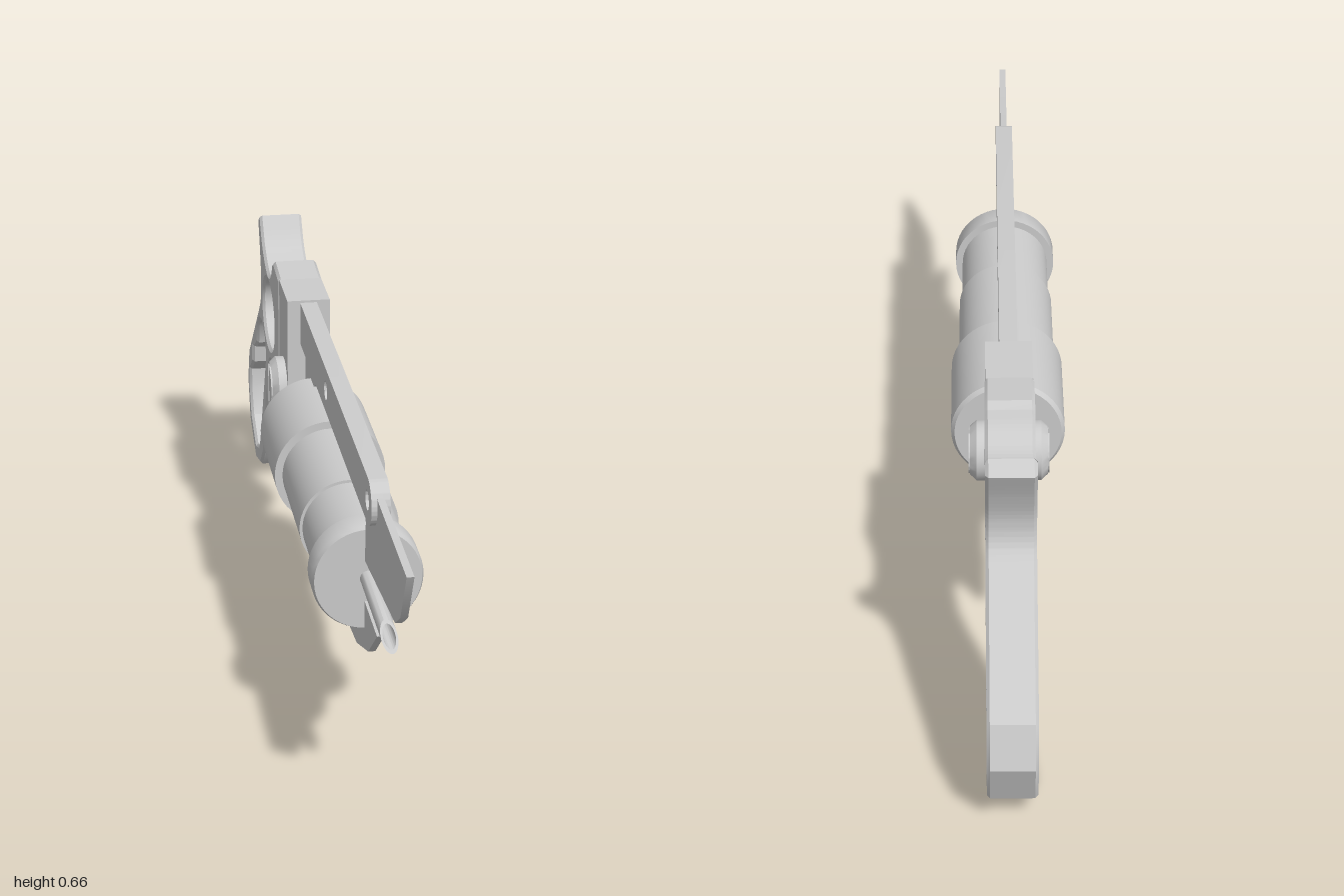
import * as THREE from 'three';
import { toCreasedNormals } from 'three/addons/utils/BufferGeometryUtils.js';

const material = new THREE.MeshStandardMaterial({ color: 0xcccccc });

function add(parent, name, geometry) {
  const mesh = new THREE.Mesh(geometry, material);
  mesh.name = name;
  parent.add(mesh);
  return mesh;
}

const points = (list) => list.map(([a, b]) => new THREE.Vector2(a, b));

// Side outline in (z, y), extruded symmetrically across x
function sideExtrude(shape, width, bevel = 0) {
  const geometry = new THREE.ExtrudeGeometry(shape, {
    depth: width - 2 * bevel, curveSegments: 24, bevelEnabled: bevel > 0,
    bevelThickness: bevel, bevelSize: bevel, bevelOffset: -bevel, bevelSegments: 1,
  });
  geometry.translate(0, 0, bevel - width / 2).rotateY(-Math.PI / 2);
  return toCreasedNormals(geometry, 0.5);
}

function circleHole(z, y, r) {
  return new THREE.Path().absarc(z, y, r, 0, Math.PI * 2, true);
}

export function createModel() {
  const model = new THREE.Group();

  // Thin blade plate: upper blade, lower hooked blade and the window between
  add(model, 'bladePlate', sideExtrude(new THREE.Shape(points([
    [1, 0.598], [0.69, 0.602], [0.62, 0.615], [-0.35, 0.62], [-0.4, 0.33],
    [-0.375, 0.147], [-0.364, 0.136], [0.166, 0.152], [0.455, 0.184],
    [0.595, 0.238], [0.696, 0.323], [0.42, 0.323], [0.418, 0.28],
    [0.405, 0.248], [0.343, 0.233], [-0.13, 0.233], [-0.15, 0.265],
    [-0.15, 0.48], [-0.1, 0.507], [0.25, 0.515], [0.55, 0.508],
    [0.557, 0.495], [0.55, 0.41], [0.89, 0.452], [0.943, 0.49],
  ])), 0.014));

  // Top bar with rounded nose and two pin holes
  const bar = new THREE.Shape();
  bar.moveTo(-0.28, 0.628);
  bar.lineTo(-0.28, 0.534);
  bar.lineTo(0.643, 0.534);
  bar.absarc(0.643, 0.581, 0.047, -Math.PI / 2, Math.PI / 2, false);
  bar.closePath();
  bar.holes.push(circleHole(0.638, 0.58, 0.02), circleHole(0.107, 0.58, 0.02));
  add(model, 'topBar', sideExtrude(bar, 0.036));

  // Hinge block between plate and grip
  const block = add(model, 'hingeBlock', new THREE.BoxGeometry(0.092, 0.29, 0.135));
  block.position.set(0, 0.488, -0.335);

  // Grip with finger hole, tang and open pommel loop
  const grip = new THREE.Shape();
  grip.moveTo(-0.4, 0.345);
  grip.lineTo(-0.4, 0.633);
  grip.lineTo(-0.493, 0.642);
  grip.lineTo(-0.51, 0.632);
  grip.splineThru(points([
    [-0.53, 0.604], [-0.56, 0.583], [-0.6, 0.578], [-0.65, 0.595], [-0.69, 0.622], [-0.728, 0.669],
  ]));
  grip.lineTo(-0.762, 0.65);
  grip.splineThru(points([
    [-0.735, 0.585], [-0.72, 0.525], [-0.728, 0.472], [-0.766, 0.43],
  ]));
  for (const [z, y] of [
    [-0.97, 0.247], [-1, 0.162], [-0.965, 0.066], [-0.852, 0.007],
    [-0.766, 0.03], [-0.707, 0.088], [-0.621, 0.297],
  ]) grip.lineTo(z, y);
  grip.splineThru(points([
    [-0.59, 0.36], [-0.55, 0.384], [-0.512, 0.387], [-0.471, 0.367], [-0.445, 0.317],
  ]));
  grip.lineTo(-0.4, 0.327);
  grip.holes.push(
    new THREE.Path().absellipse(-0.583, 0.484, 0.106, 0.08, 0, Math.PI * 2, true, 0.05),
    new THREE.Path(points([
      [-0.643, 0.35], [-0.645, 0.378], [-0.66, 0.398], [-0.69, 0.411], [-0.72, 0.414],
      [-0.76, 0.405], [-0.79, 0.385], [-0.803, 0.368], [-0.814, 0.323], [-0.852, 0.297],
      [-0.9, 0.28], [-0.905, 0.238], [-0.937, 0.211], [-0.964, 0.195], [-0.964, 0.147],
      [-0.932, 0.088], [-0.852, 0.045], [-0.787, 0.067], [-0.766, 0.099],
    ])),
  );
  add(model, 'grip', sideExtrude(grip, 0.096, 0.006));

  // Slotted screw on each side of the block
  for (const side of [-1, 1]) {
    const screw = new THREE.Group();
    screw.name = side > 0 ? 'leftScrew' : 'rightScrew';
    screw.position.set(side * 0.04, 0.418, -0.33);
    screw.rotation.y = side * Math.PI / 2;
    const collar = new THREE.LatheGeometry(points([
      [0.06, 0], [0.06, 0.024], [0.048, 0.037], [0.046, 0.028], [0, 0.028],
    ]), 32).rotateX(Math.PI / 2);
    add(screw, 'screwCollar', toCreasedNormals(collar, 0.5));
    for (const half of [0, Math.PI]) {
      const dome = new THREE.Shape().absarc(0, 0, 0.045, -1.4, 1.4, false);
      dome.closePath();
      const head = new THREE.ExtrudeGeometry(dome, { depth: 0.04, bevelEnabled: false, curveSegments: 16 });
      add(screw, 'screwHeadHalf', toCreasedNormals(head, 0.5)).rotation.z = half;
    }
    model.add(screw);
  }

  // Stepped barrel lying along z, profile as [radius, z] from back to front
  const barrel = new THREE.LatheGeometry(points([
    [0, -0.197], [0.109, -0.197], [0.116, -0.188], [0.116, 0.05], [0.1, 0.05],
    [0.1, 0.308], [0.094, 0.308], [0.094, 0.488], [0.109, 0.488],
    [0.109, 0.54], [0.105, 0.548], [0, 0.548],
  ]), 48).rotateX(Math.PI / 2);
  add(model, 'barrel', toCreasedNormals(barrel, 0.5)).position.y = 0.37;

  // Hollow needle with a slanted tip
  const ring = new THREE.Shape().absarc(0, 0, 0.016, 0, Math.PI * 2, false);
  ring.holes.push(circleHole(0, 0, 0.012));
  const needle = new THREE.ExtrudeGeometry(ring, { depth: 1, bevelEnabled: false, curveSegments: 24 });
  const p = needle.attributes.position;
  for (let i = 0; i < p.count; i++) {
    p.setZ(i, p.getZ(i) > 0.5 ? 0.79 - p.getY(i) * 2.4 : 0.53);
  }
  add(model, 'needle', toCreasedNormals(needle, 0.5)).position.y = 0.372;

  return model;
}
